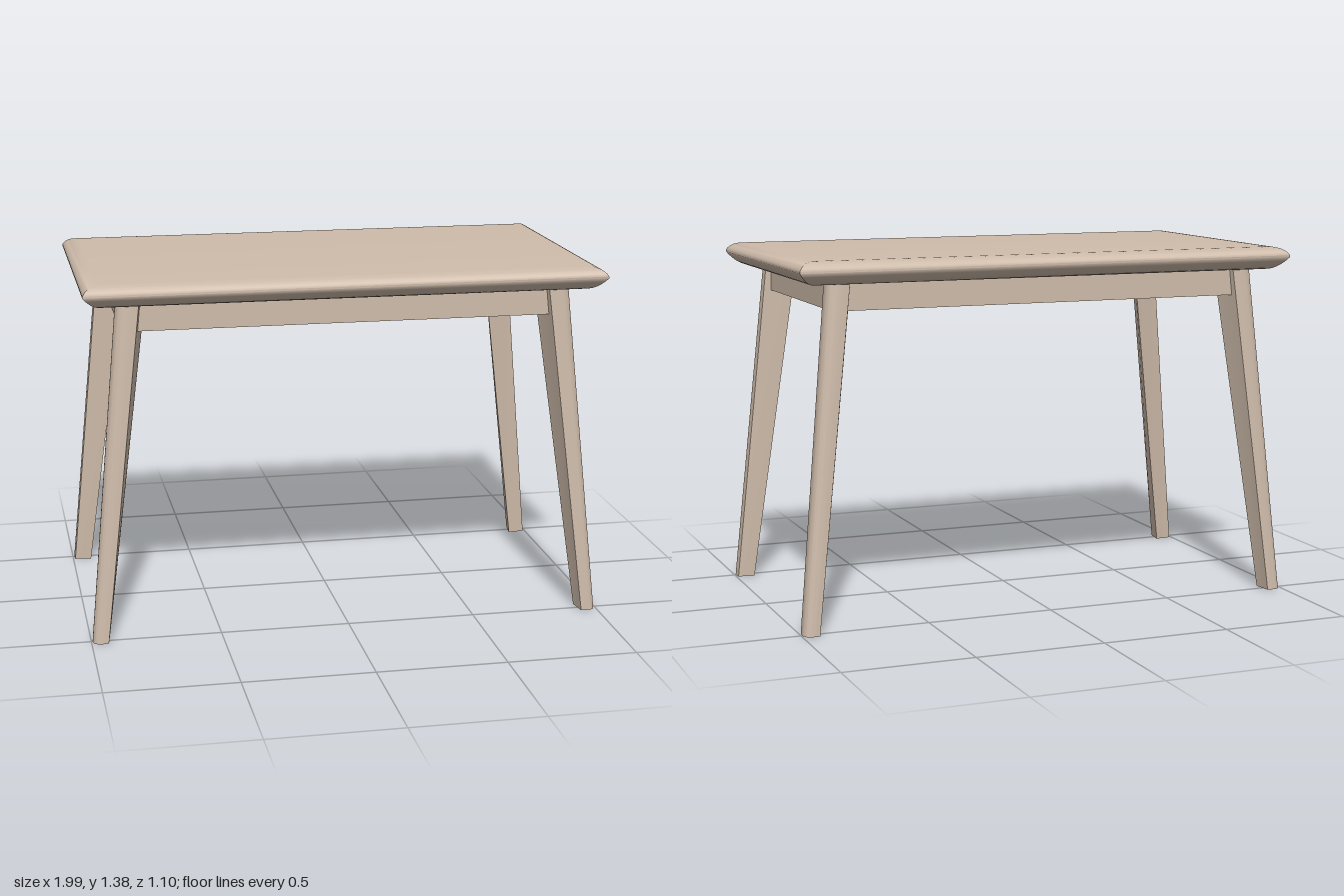
import * as THREE from 'three';
import { toCreasedNormals } from 'three/addons/utils/BufferGeometryUtils.js';

// Closed solid through horizontal rings, listed bottom to top; each ring is { y, pts: [[x, z], ...] }
function loft(rings, crease) {
  const pos = [];
  const p = rings[0].pts;
  const n = p.length;
  let area = 0;
  for (let i = 0; i < n; i++) {
    const j = (i + 1) % n;
    area += p[i][0] * p[j][1] - p[j][0] * p[i][1];
  }
  if (area > 0) rings.forEach((r) => r.pts.reverse());
  const put = (r, i) => pos.push(r.pts[i % n][0], r.y, r.pts[i % n][1]);
  for (let k = 0; k < rings.length - 1; k++) {
    const a = rings[k], b = rings[k + 1];
    for (let i = 0; i < n; i++) {
      put(a, i); put(a, i + 1); put(b, i + 1);
      put(a, i); put(b, i + 1); put(b, i);
    }
  }
  const bottom = rings[0], top = rings[rings.length - 1];
  for (let i = 1; i < n - 1; i++) {
    put(top, 0); put(top, i); put(top, i + 1);
    put(bottom, 0); put(bottom, i + 1); put(bottom, i);
  }
  const geo = new THREE.BufferGeometry();
  geo.setAttribute('position', new THREE.Float32BufferAttribute(pos, 3));
  return toCreasedNormals(geo, crease);
}

// Leg section: square inner corner, broadly rounded outer corner
function legSection(inner, side, outer, front) {
  const v = (a) => new THREE.Vector2(a[0], a[1]);
  const o = v(outer);
  const start = v(side).lerp(o, 0.25), end = v(front).lerp(o, 0.25);
  const arc = new THREE.QuadraticBezierCurve(start, o, end).getPoints(10);
  return [v(inner), v(side), ...arc, v(front)];
}

export function createModel() {
  const group = new THREE.Group();
  const wood = new THREE.MeshStandardMaterial({ color: 0xcfbcab });
  wood.name = 'pale wood';
  const add = (name, geo) => {
    const mesh = new THREE.Mesh(geo, wood);
    mesh.name = name;
    group.add(mesh);
    return mesh;
  };

  // Table top: rounded edge profile (half depth, height) with mitred corners
  const underEdge = new THREE.QuadraticBezierCurve(
    new THREE.Vector2(0.475, 1.29), new THREE.Vector2(0.51, 1.29), new THREE.Vector2(0.548, 1.34));
  const upperEdge = new THREE.QuadraticBezierCurve(
    new THREE.Vector2(0.548, 1.347), new THREE.Vector2(0.532, 1.378), new THREE.Vector2(0.485, 1.379));
  const profile = [...underEdge.getPoints(6), ...upperEdge.getPoints(6)];
  add('tableTop', loft(profile.map(({ x: z, y }) => {
    const x = z + 0.447;
    return { y, pts: [[x, z], [x, -z], [-x, -z], [-x, z]] };
  }), 0.75));

  // Splayed, tapering legs
  const foot = legSection([0.926, 0.46], [0.992, 0.468], [1.0, 0.54], [0.936, 0.533]);
  const head = legSection([0.752, 0.37], [0.866, 0.405], [0.876, 0.477], [0.785, 0.47]);
  for (const [sx, sideName] of [[1, 'Left'], [-1, 'Right']]) {
    for (const [sz, endName] of [[1, 'front'], [-1, 'back']]) {
      const place = (pts) => pts.map((p) => [p.x * sx, p.y * sz]);
      add(`${endName}${sideName}Leg`,
        loft([{ y: 0, pts: place(foot) }, { y: 1.291, pts: place(head) }], 0.4));
    }
  }

  // Apron rails under the top
  for (const s of [1, -1]) {
    add(s > 0 ? 'frontApron' : 'backApron', new THREE.BoxGeometry(1.62, 0.101, 0.045))
      .position.set(0, 1.2405, s * 0.43);
    add(s > 0 ? 'leftApron' : 'rightApron', new THREE.BoxGeometry(0.045, 0.101, 0.84))
      .position.set(s * 0.825, 1.2405, 0);
  }
  return group;
}
